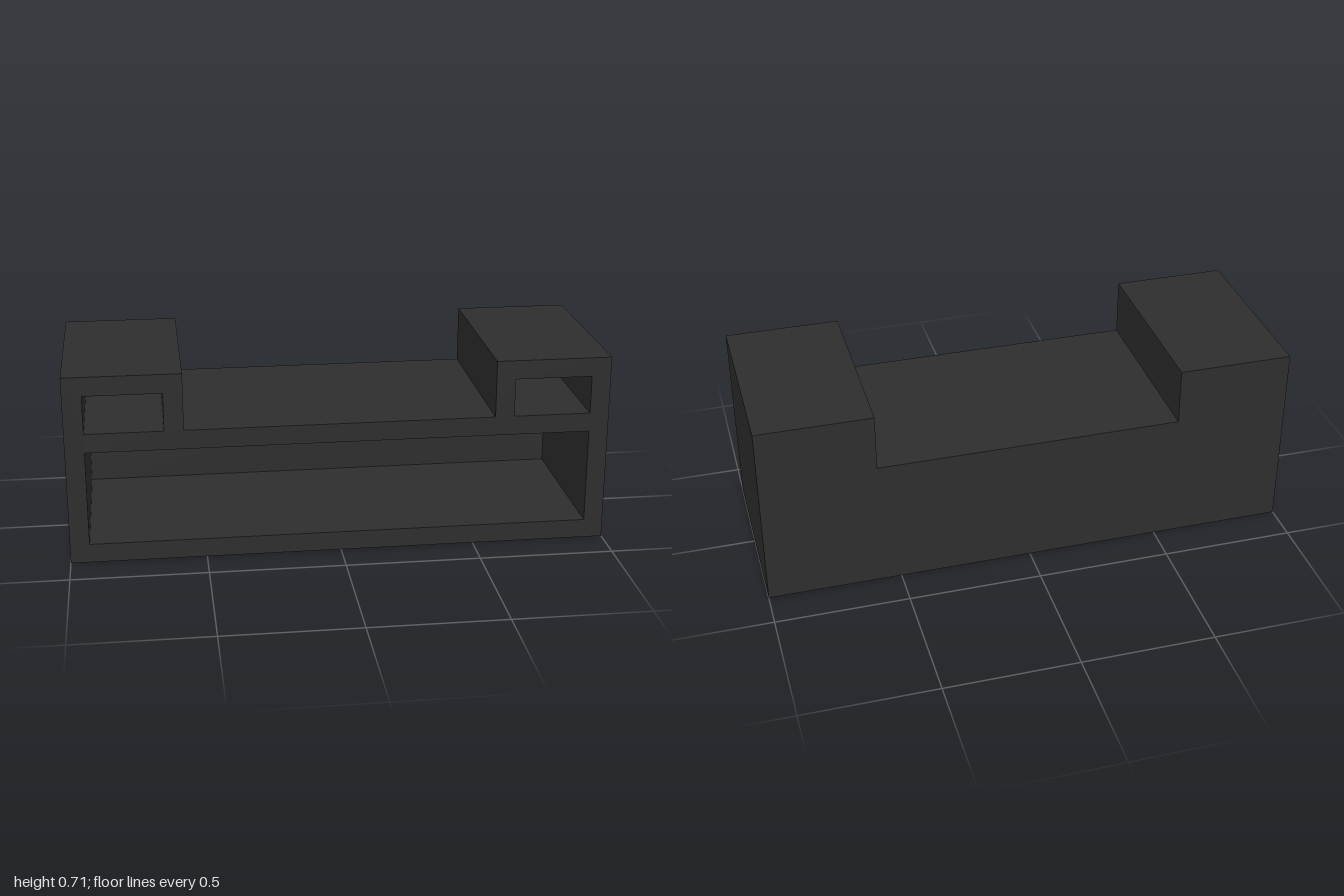
import * as THREE from 'three';

const U = 1 / 14; // one wall thickness
const DEPTH = 10 * U;

// Stepped front outline: long low body with a raised block at each end
function outline() {
  const points = [[-14, 0], [14, 0], [14, 10], [8, 10], [8, 7], [-8, 7], [-8, 10], [-14, 10]];
  return new THREE.Shape(points.map(([x, y]) => new THREE.Vector2(x * U, y * U)));
}

function rectHole(x0, y0, x1, y1) {
  const points = [[x0, y0], [x0, y1], [x1, y1], [x1, y0]];
  return new THREE.Path(points.map(([x, y]) => new THREE.Vector2(x * U, y * U)));
}

function slab(name, shape, z, depth, material) {
  const geometry = new THREE.ExtrudeGeometry(shape, { depth, bevelEnabled: false });
  const mesh = new THREE.Mesh(geometry, material);
  mesh.name = name;
  mesh.position.z = z;
  return mesh;
}

export function createModel() {
  const charcoal = new THREE.MeshStandardMaterial({ color: 0x2d2d2d });
  charcoal.name = 'charcoal';

  const group = new THREE.Group();
  group.name = 'openCabinet';

  // Walls and shelves around one wide compartment and two small upper ones
  const frame = outline();
  frame.holes.push(
    rectHole(-13, 1, 13, 6),
    rectHole(-13, 7, -9, 9),
    rectHole(9, 7, 13, 9),
  );
  group.add(slab('cabinetFrame', frame, -DEPTH / 2 + U, DEPTH - U, charcoal));

  // Closed back
  group.add(slab('backPanel', outline(), -DEPTH / 2, U, charcoal));
  return group;
}
